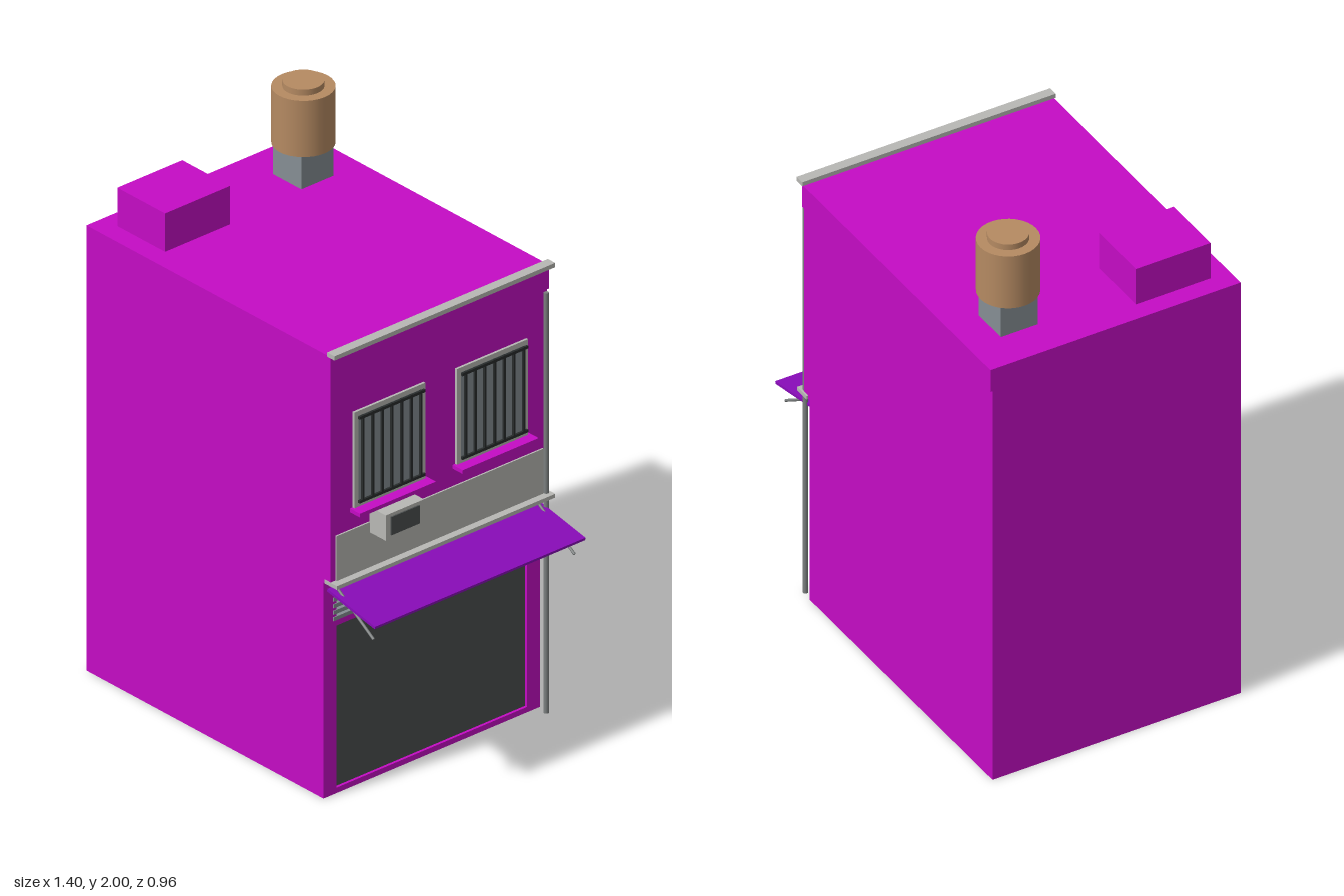
import * as THREE from 'three';

const mat = (name, color) => Object.assign(new THREE.MeshStandardMaterial({ color }), { name });

export function createModel() {
  const wall = mat('magenta plaster', 0xc40cc4);
  const trim = mat('pale concrete', 0xb8b8b4);
  const steel = mat('blue grey', 0x858e93);
  const dark = mat('dark shutter', 0x4b4f4f);
  const iron = mat('black iron', 0x282c2c);
  const pipeGrey = mat('pipe grey', 0x7c8080);
  const clay = mat('tan tank', 0xb58a62);
  const purple = mat('purple awning', 0x8a0cba);

  const house = new THREE.Group();
  house.name = 'shopHouse';

  // Box given by its limits on each axis
  const box = (name, m, [x0, x1], [y0, y1], [z0, z1], parent = house) => {
    const mesh = new THREE.Mesh(new THREE.BoxGeometry(x1 - x0, y1 - y0, z1 - z0), m);
    mesh.position.set((x0 + x1) / 2, (y0 + y1) / 2, (z0 + z1) / 2);
    mesh.name = name;
    parent.add(mesh);
    return mesh;
  };
  const cyl = (name, m, r, y0, y1, x, z, sides = 32) => {
    const mesh = new THREE.Mesh(new THREE.CylinderGeometry(r, r, y1 - y0, sides), m);
    mesh.position.set(x, (y0 + y1) / 2, z);
    mesh.name = name;
    house.add(mesh);
    return mesh;
  };
  // Thin rod between two points
  const rod = (name, m, a, b, r) => {
    const p = new THREE.Vector3(...a), q = new THREE.Vector3(...b);
    const mesh = cyl(name, m, r, 0, p.distanceTo(q), 0, 0, 8);
    mesh.position.copy(p).add(q).multiplyScalar(0.5);
    mesh.quaternion.setFromUnitVectors(new THREE.Vector3(0, 1, 0), q.sub(p).normalize());
  };

  // Main walls, overhanging upper floor and roof band
  box('groundFloor', wall, [-0.7, 0.44], [0, 0.8], [-0.468, 0.472]);
  box('upperFloor', wall, [-0.7, 0.497], [0.8, 1.648], [-0.468, 0.472]);
  box('roofBand', wall, [-0.7, 0.497], [1.56, 1.648], [-0.476, -0.468]);

  // Shop front surround
  box('leftJamb', wall, [0.44, 0.462], [0, 0.8], [0.415, 0.472]);
  box('rightJamb', wall, [0.44, 0.462], [0, 0.8], [-0.468, -0.412]);
  for (const y of [[0, 0.02], [0.62, 0.64], [0.76, 0.8]]) {
    box('lintel', wall, [0.44, 0.462], y, [-0.412, 0.415]);
  }
  box('shutter', dark, [0.44, 0.452], [0.02, 0.62], [-0.412, 0.415]);

  // Slatted vent above the shutter
  box('ventBack', steel, [0.44, 0.452], [0.64, 0.76], [-0.412, 0.415]);
  for (let i = 0; i < 5; i++) {
    const y = 0.642 + i * 0.024;
    box('ventSlat', steel, [0.452, 0.465], [y, y + 0.014], [-0.424, 0.43]);
  }

  // Ledges and facade panel
  box('roofCornice', trim, [0.487, 0.523], [1.648, 1.664], [-0.48, 0.478]);
  box('floorLedge', trim, [0.47, 0.53], [0.8, 0.814], [-0.474, 0.474]);
  box('facadePanel', trim, [0.497, 0.503], [0.814, 0.98], [-0.447, 0.452]);

  // Barred windows
  for (const s of [1, -1]) {
    const win = new THREE.Group();
    win.name = 'window';
    win.position.z = s * 0.223;
    house.add(win);
    box('pane', steel, [0.497, 0.502], [1.07, 1.405], [-0.14, 0.14], win);
    for (const t of [-1, 1]) {
      const z = t * 0.145, y = 1.235 + t * 0.168;
      box('frameSide', trim, [0.497, 0.506], [1.058, 1.412], [z - 0.009, z + 0.009], win);
      box('frameRail', trim, [0.497, 0.506], [y - 0.009, y + 0.009], [-0.145, 0.145], win);
      const by = 1.237 + t * 0.155;
      box('grilleRail', iron, [0.512, 0.52], [by - 0.005, by + 0.005], [-0.143, 0.143], win);
    }
    for (let i = -3; i <= 3; i++) {
      const z = i * 0.042;
      box('grilleBar', iron, [0.512, 0.52], [1.078, 1.398], [z - 0.004, z + 0.004], win);
    }
    box('sill', wall, [0.497, 0.546], [1.044, 1.058], [-0.165, 0.165], win);
  }

  // Air conditioner
  box('airConditioner', trim, [0.5, 0.58], [0.942, 1.036], [0.14, 0.306]);
  box('airConditionerGrille', dark, [0.58, 0.585], [0.957, 1.024], [0.163, 0.285]);

  // Sloping awning with its arms
  const awning = box('awning', purple, [-0.119, 0.119], [-0.005, 0.005], [-0.458, 0.456]);
  awning.position.set(0.58, 0.744, 0);
  awning.rotation.z = -0.193;
  for (const z of [-0.436, 0.436]) {
    rod('awningArm', pipeGrey, [0.462, 0.795, z], [0.667, 0.66, z], 0.005);
  }

  // Drain pipe down the facade corner
  cyl('drainPipe', pipeGrey, 0.009, 0, 1.555, 0.504, -0.458, 12);

  // Roof hatch and water tank
  box('roofHatch', wall, [-0.63, -0.396], [1.648, 1.79], [0.118, 0.4]);
  box('tankBase', steel, [-0.56, -0.42], [1.648, 1.77], [-0.353, -0.213]);
  cyl('waterTank', clay, 0.105, 1.77, 1.978, -0.49, -0.284);
  cyl('tankLid', clay, 0.069, 1.978, 2, -0.49, -0.284);

  return house;
}
